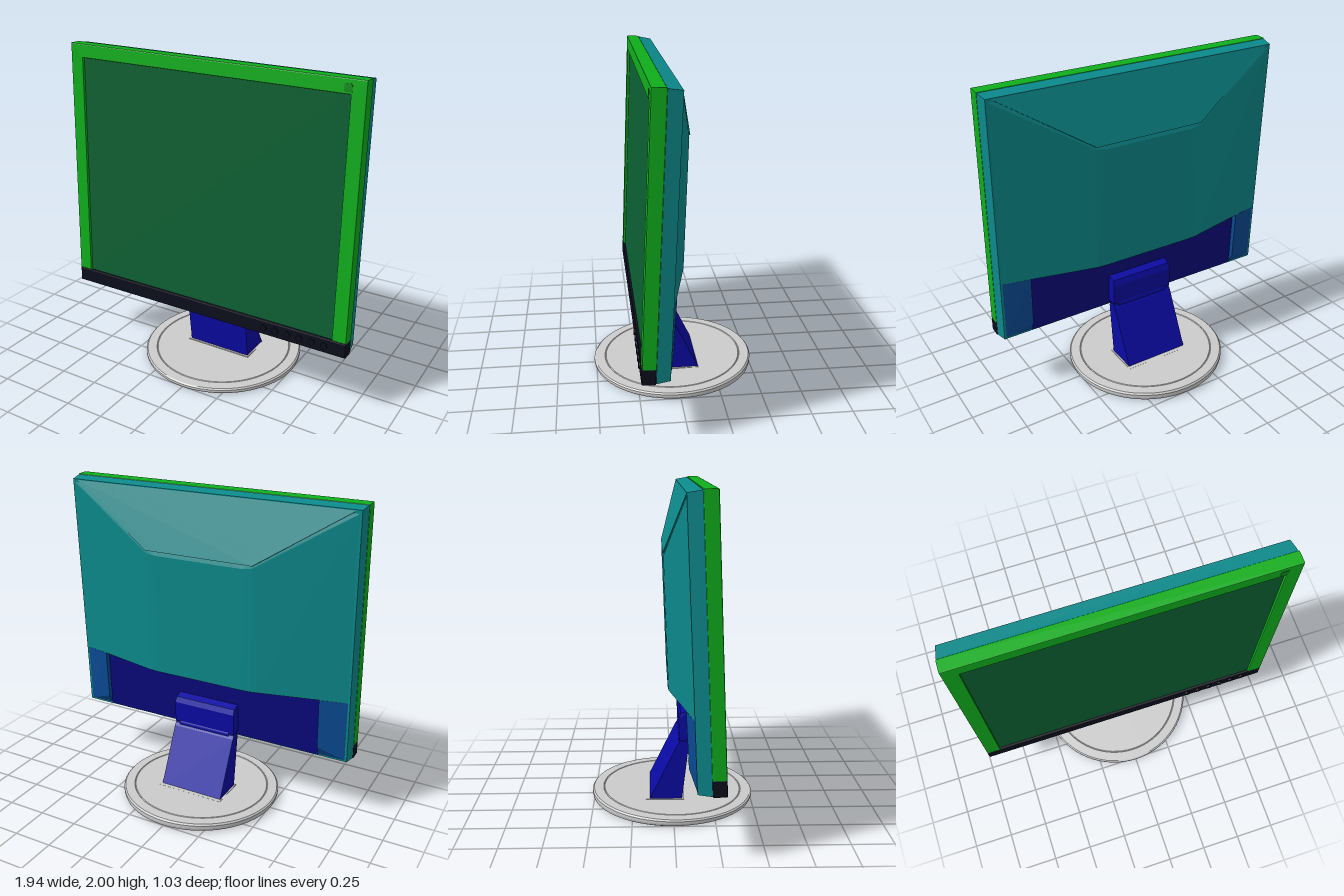
import * as THREE from 'three';
import { ConvexGeometry } from 'three/addons/geometries/ConvexGeometry.js';

const paint = (color) => new THREE.MeshStandardMaterial({ color });
const GREEN = paint(0x0fae1c), DARK = paint(0x0b0d1c), SCREEN = paint(0x0c6032),
  TEAL = paint(0x0c8a8c), BLUE = paint(0x0a0aa4), NAVY = paint(0x08087c),
  SHADE = paint(0x0a4a94), GREY = paint(0xcccccc);

function add(parent, name, geometry, material, x = 0, y = 0, z = 0) {
  const mesh = new THREE.Mesh(geometry, material);
  mesh.name = name;
  mesh.position.set(x, y, z);
  parent.add(mesh);
  return mesh;
}

const box = (w, h, d) => new THREE.BoxGeometry(w, h, d);
const polygon = (pts) => new THREE.Shape(pts.map(([x, y]) => new THREE.Vector2(x, y)));
const hull = (pts) => new ConvexGeometry(pts.map((p) => new THREE.Vector3(...p)));
const mirrored = (pts) => pts.flatMap(([x, y, z]) => [[x, y, z], [-x, y, z]]);

// Flat plate with a small rounded edge; its front lies at z = 0
function bevelled(shape, depth, b) {
  const g = new THREE.ExtrudeGeometry(shape, {
    depth: depth - 2 * b, bevelEnabled: true, bevelSize: b, bevelOffset: -b, bevelThickness: b, bevelSegments: 2,
  });
  return g.translate(0, 0, b - depth);
}

// Trapezoid vent panel perforated by rows of narrow slots
function ventPanel(bottomHalf, topHalf, length, thick) {
  const shape = polygon([[-bottomHalf, 0], [bottomHalf, 0], [topHalf, length], [-topHalf, length]]);
  const rows = 7, margin = 0.03, pitch = (length - 2 * margin) / rows;
  for (let r = 0; r < rows; r++) {
    const y0 = margin + r * pitch, y1 = y0 + pitch * 0.75;
    const limit = bottomHalf + (topHalf - bottomHalf) * y0 / length - 0.07;
    const n = Math.floor(limit / 0.026);
    for (let i = -n; i <= n; i++) {
      const x = i * 0.026;
      shape.holes.push(polygon([[x - 0.007, y0], [x - 0.007, y1], [x + 0.007, y1], [x + 0.007, y0]]));
    }
  }
  return new THREE.ExtrudeGeometry(shape, { depth: thick, bevelEnabled: false }).translate(0, 0, -thick);
}

// Display head, in its own frame: bottom at y = 0, front at z = 0
function createDisplay() {
  const head = new THREE.Group();
  head.name = 'display';
  const W = 0.968, H = 1.605, iw = 0.88, y0 = 0.092, y1 = 1.52;

  // Front frame: upper surround and lower chin
  add(head, 'upperBezel', bevelled(polygon([
    [-W, y0], [-iw, y0], [-iw, y1], [iw, y1], [iw, y0], [W, y0], [W, H], [-W, H],
  ]), 0.08, 0.006), GREEN);
  add(head, 'lowerBezel', bevelled(polygon([[-W, 0], [W, 0], [W, y0], [-W, y0]]), 0.08, 0.006), DARK);
  add(head, 'screen', box(2 * iw + 0.02, y1 - y0 + 0.02, 0.06), SCREEN, 0, (y0 + y1) / 2, -0.046);
  add(head, 'cornerTag', box(0.045, 0.045, 0.004), paint(0x0c8a18), 0.865, 1.555, 0);
  for (let i = 0; i < 6; i++) {
    const button = new THREE.CylinderGeometry(0.02, 0.022, 0.012, 20).rotateX(Math.PI / 2);
    add(head, 'button', button, DARK, 0.44 + i * 0.079, 0.046, 0.002);
  }

  // Rear half of the frame, narrowing slightly towards the back
  const rim = box(1.93, H - 0.008, 0.08);
  const p = rim.attributes.position;
  for (let i = 0; i < p.count; i++) {
    if (p.getZ(i) < 0) p.setXY(i, p.getX(i) * 0.987, p.getY(i) * 0.987);
  }
  rim.computeVertexNormals();
  add(head, 'rearRim', rim, TEAL, 0, H / 2, -0.12);

  // Faceted rear housing above the recess
  add(head, 'rearHousing', hull(mirrored([
    [0.948, 1.575, -0.158], [0.948, 0.42, -0.158],
    [0.40, 1.225, -0.272], [0.36, 1.215, -0.28], [0.30, 1.205, -0.285],
    [0.40, 0.42, -0.276], [0.36, 0.42, -0.284], [0.30, 0.42, -0.288],
  ])), TEAL);

  // Housing flanks on both sides of the recess
  for (const s of [-1, 1]) {
    add(head, 'rearFlank', hull([
      [0.948, 0.42, -0.158], [0.77, 0.42, -0.198], [0.77, 0.42, -0.158],
      [0.948, 0.02, -0.158], [0.77, 0.02, -0.158], [0.77, 0.09, -0.195],
    ].map(([x, y, z]) => [s * x, y, z])), SHADE);
  }
  add(head, 'recessPanel', box(1.54, 0.40, 0.006), NAVY, 0, 0.22, -0.16);

  // Sloping vent between the top edge and the hump
  const dy = 0.355, dz = 0.125;
  const vent = add(head, 'ventGrille', ventPanel(0.36, 0.92, Math.hypot(dy, dz), 0.012), TEAL, 0, 1.23, -0.285);
  vent.rotation.set(Math.atan2(dz, dy), Math.PI, 0);

  // Mounting bracket in the recess
  add(head, 'mountBracket', hull(mirrored([
    [0.215, 0.05, -0.15], [0.215, 0.24, -0.15], [0.215, 0.05, -0.23],
    [0.215, 0.19, -0.23], [0.21, 0.225, -0.215],
  ])), BLUE);
  return head;
}

// Wedge-shaped neck with a hinge barrel, on a round foot
function createStand() {
  const stand = new THREE.Group();
  stand.name = 'stand';

  // Turned foot, thinner at the front than at the back
  const profile = [
    [0, 0], [0.495, 0], [0.51, 0.008], [0.514, 0.02], [0.514, 0.036], [0.505, 0.045],
    [0.445, 0.047], [0.441, 0.043], [0.437, 0.047], [0, 0.048],
  ].map(([r, y]) => new THREE.Vector2(r, y));
  // Doubled points keep the edges crisp
  const crisp = profile.flatMap((v, i) => (i > 0 && i < profile.length - 1 ? [v, v.clone()] : [v]));
  const foot = new THREE.LatheGeometry(crisp, 72);
  const p = foot.attributes.position;
  for (let i = 0; i < p.count; i++) p.setY(i, p.getY(i) * (1 - 0.5 * p.getZ(i)));
  foot.computeVertexNormals();
  add(stand, 'foot', foot, GREY);
  add(stand, 'neckCollar', box(0.45, 0.03, 0.24), GREY, 0, 0.037, -0.05);

  // Side profile in (z, y), swept across the width
  const neck = new THREE.ExtrudeGeometry(polygon([
    [-0.155, 0.03], [0.055, 0.03], [0.098, 0.40], [0.09, 0.425], [0.065, 0.432], [0.042, 0.425], [0.028, 0.405],
  ]), { depth: 0.43, bevelEnabled: false });
  neck.translate(0, 0, -0.215).rotateY(-Math.PI / 2).scale(1, 1, 1);
  add(stand, 'neck', neck, BLUE);
  add(stand, 'hinge', new THREE.CylinderGeometry(0.03, 0.03, 0.36, 24).rotateZ(Math.PI / 2), BLUE, 0, 0.425, 0.065);
  return stand;
}

export function createModel() {
  const model = new THREE.Group();
  model.name = 'monitor';
  const display = createDisplay();
  display.position.set(0, 0.395, 0.272);
  display.rotation.x = -0.041;
  model.add(display, createStand());
  return model;
}
